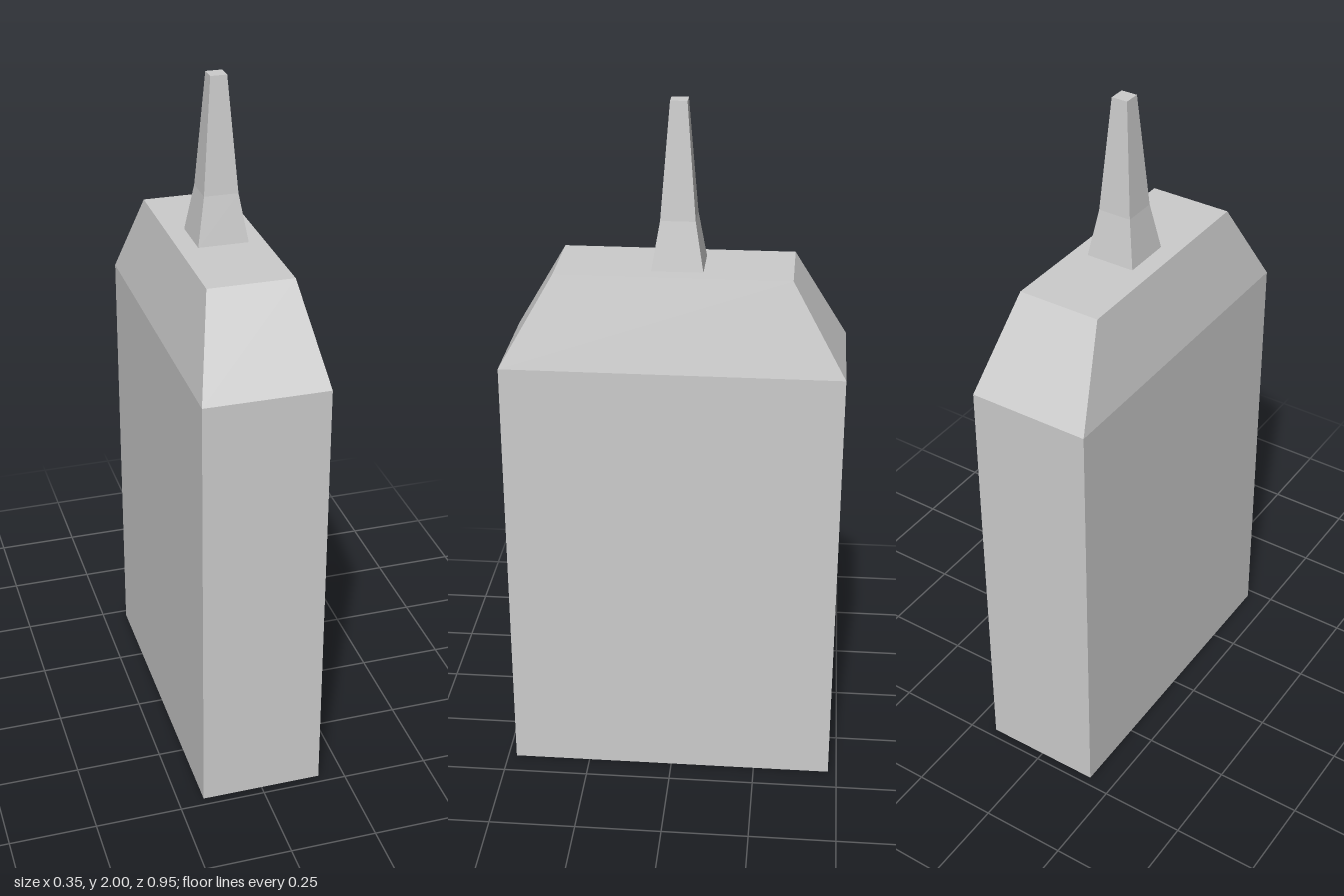
import * as THREE from 'three';

// Rectangular cross-sections [y, halfX, halfZ] joined upward, capped on top, open below.
function loft(sections, cx = 0, cz = 0) {
  const corners = [[-1, 1], [1, 1], [1, -1], [-1, -1]];
  const positions = [];
  const index = [];
  for (const [y, hx, hz] of sections) {
    for (const [sx, sz] of corners) positions.push(cx + sx * hx, y, cz + sz * hz);
  }
  for (let s = 0; s < sections.length - 1; s++) {
    for (let i = 0; i < 4; i++) {
      const a = s * 4 + i;
      const b = s * 4 + (i + 1) % 4;
      index.push(a, b, b + 4, a, b + 4, a + 4);
    }
  }
  const t = (sections.length - 1) * 4;
  index.push(t, t + 1, t + 2, t, t + 2, t + 3);

  const indexed = new THREE.BufferGeometry();
  indexed.setAttribute('position', new THREE.Float32BufferAttribute(positions, 3));
  indexed.setIndex(index);
  const geometry = indexed.toNonIndexed();
  geometry.computeVertexNormals();
  return geometry;
}

export function createModel() {
  const model = new THREE.Group();
  model.name = 'tower';
  const grey = new THREE.MeshStandardMaterial({
    name: 'light grey', color: 0xcccccc, flatShading: true, side: THREE.DoubleSide,
  });

  const addPart = (name, geometry) => {
    const mesh = new THREE.Mesh(geometry, grey);
    mesh.name = name;
    model.add(mesh);
  };

  // Straight walls, open underneath, with a sloping shoulder and flat roof
  addPart('body', loft([
    [0, 0.176, 0.475],
    [1.285, 0.176, 0.475],
    [1.545, 0.12, 0.324],
  ]));

  // Flared square spire, slightly off centre
  addPart('spire', loft([
    [1.545, 0.071, 0.071],
    [1.68, 0.048, 0.048],
    [2, 0.023, 0.023],
  ], 0.004, -0.009));

  return model;
}
